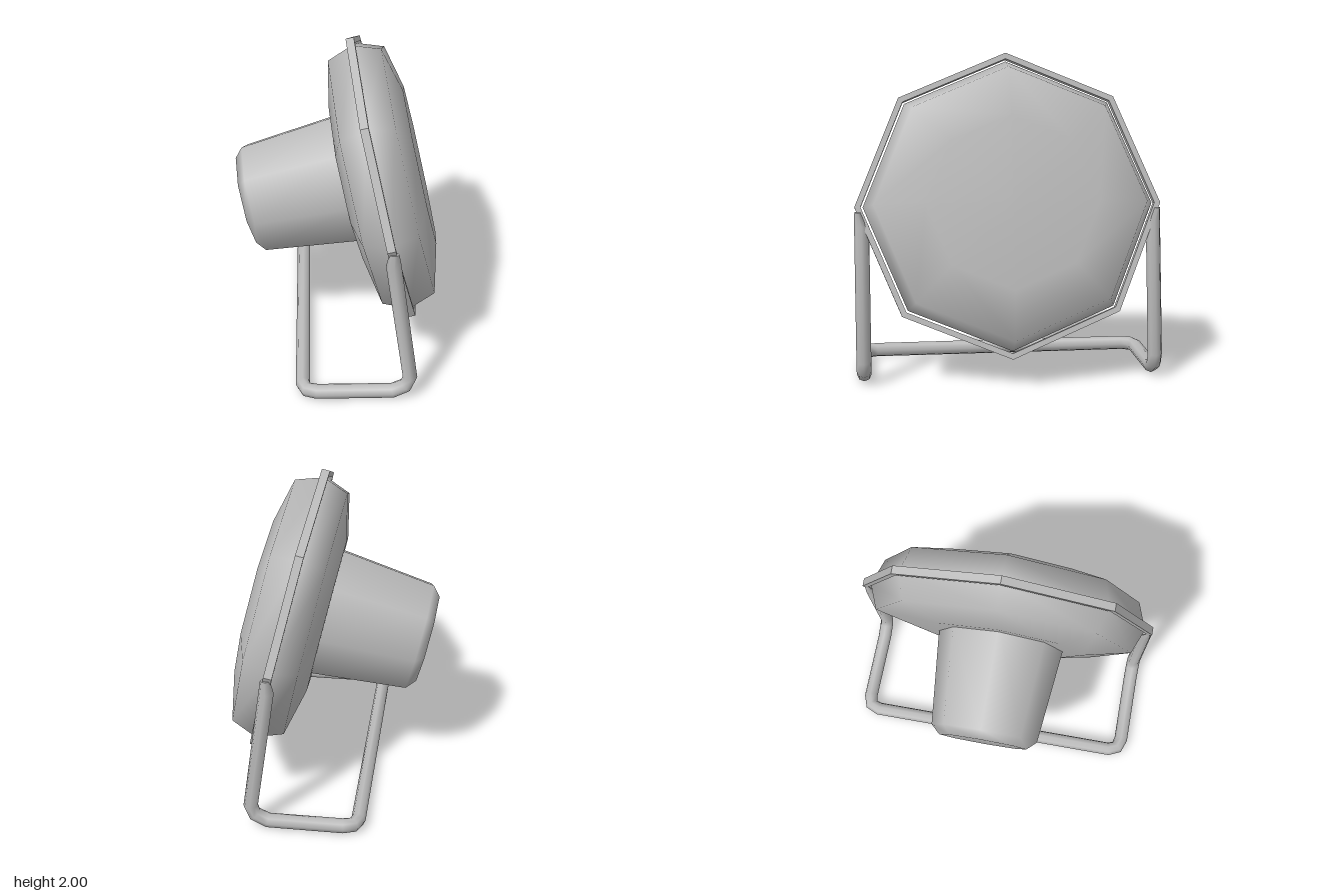
import * as THREE from 'three';

// Polyline curve that places one tube ring on every bend point
class BentPath extends THREE.Curve {
  constructor(points) {
    super();
    this.points = points;
  }
  getPoint(t, target = new THREE.Vector3()) {
    const n = this.points.length - 1;
    const i = Math.min(Math.floor(t * n + 1e-6), n - 1);
    return target.lerpVectors(this.points[i], this.points[i + 1], t * n - i);
  }
  getPointAt(t, target) {
    return this.getPoint(t, target);
  }
  getTangentAt(t, target = new THREE.Vector3()) {
    const p = this.points, n = p.length - 1, i = Math.round(t * n);
    target.set(0, 0, 0);
    if (i > 0) target.add(p[i].clone().sub(p[i - 1]).normalize());
    if (i < n) target.add(p[i + 1].clone().sub(p[i]).normalize());
    return target.normalize();
  }
}

function octagon(radius, Type) {
  const pts = [];
  for (let i = 0; i < 8; i++) {
    const a = (i * Math.PI) / 4;
    pts.push(new THREE.Vector2(radius * Math.cos(a), radius * Math.sin(a)));
  }
  return new Type(pts);
}

function lathe(profile) {
  return new THREE.LatheGeometry(profile.map(([r, y]) => new THREE.Vector2(r, y)), 8);
}

export function createModel() {
  const model = new THREE.Group();
  model.name = 'floodlight';
  const grey = new THREE.MeshStandardMaterial({ color: 0xbbbbbb });
  grey.name = 'grey metal';

  const add = (parent, name, geometry) => {
    const mesh = new THREE.Mesh(geometry, grey);
    mesh.name = name;
    parent.add(mesh);
    return mesh;
  };

  // Tilted lamp head: its own y axis points out of the lens
  const head = new THREE.Group();
  head.name = 'lampHead';
  head.position.set(0.285, 1.076, 0);
  head.rotation.z = -THREE.MathUtils.degToRad(76.8);
  model.add(head);

  // Shallow faceted drum, domed on both faces
  add(head, 'drum', lathe([
    [0, -0.228], [0.525, -0.228], [0.827, -0.16], [0.89, 0],
    [0.827, 0.168], [0.525, 0.24], [0, 0.24],
  ]));

  // Tapered rear housing with a bevelled end
  const housing = add(head, 'rearHousing', lathe([
    [0, -0.877], [0.303, -0.877], [0.367, -0.822], [0.437, -0.2],
  ]));
  housing.position.x = -0.014;
  housing.scale.z = 0.92;

  // Flat octagonal rim around the drum
  const rimShape = octagon(0.94, THREE.Shape);
  rimShape.holes.push(octagon(0.903, THREE.Path));
  const rim = new THREE.ExtrudeGeometry(rimShape, { depth: 0.05, bevelEnabled: false });
  rim.translate(0, 0, -0.025);
  rim.rotateX(-Math.PI / 2);
  add(head, 'rim', rim);

  // Bent tube stand: one side, mirrored for the other
  const side = [
    [0.302, 1.05, 0.898], [0.302, 0.96, 0.898], [0.42, 0.15, 0.898], [0.395, 0.085, 0.898],
    [0.315, 0.045, 0.898], [-0.145, 0.045, 0.898], [-0.208, 0.045, 0.878], [-0.232, 0.045, 0.82],
  ];
  const path = [
    ...side.map(([x, y, z]) => new THREE.Vector3(x, y, z)),
    ...side.slice().reverse().map(([x, y, z]) => new THREE.Vector3(x, y, -z)),
  ];
  const tube = new THREE.TubeGeometry(new BentPath(path), path.length - 1, 0.045, 8, false);

  // Flatten the tube ends where they meet the rim
  const pos = tube.attributes.position;
  for (let i = 0; i < pos.count; i++) {
    if (pos.getY(i) < 1.02) continue;
    const z = pos.getZ(i), s = Math.sign(z);
    pos.setX(i, 0.302 + (pos.getX(i) - 0.302) * 0.65);
    pos.setZ(i, s * (0.92 + (Math.abs(z) - 0.898) * 0.45));
  }
  add(model, 'stand', tube);

  // Caps on the flattened ends
  for (const s of [-1, 1]) {
    const cap = add(model, 'standCap', new THREE.CircleGeometry(0.045, 8));
    cap.rotation.x = -Math.PI / 2;
    cap.scale.set(0.65, 0.45, 1);
    cap.position.set(0.302, 1.05, s * 0.92);
  }
  return model;
}
